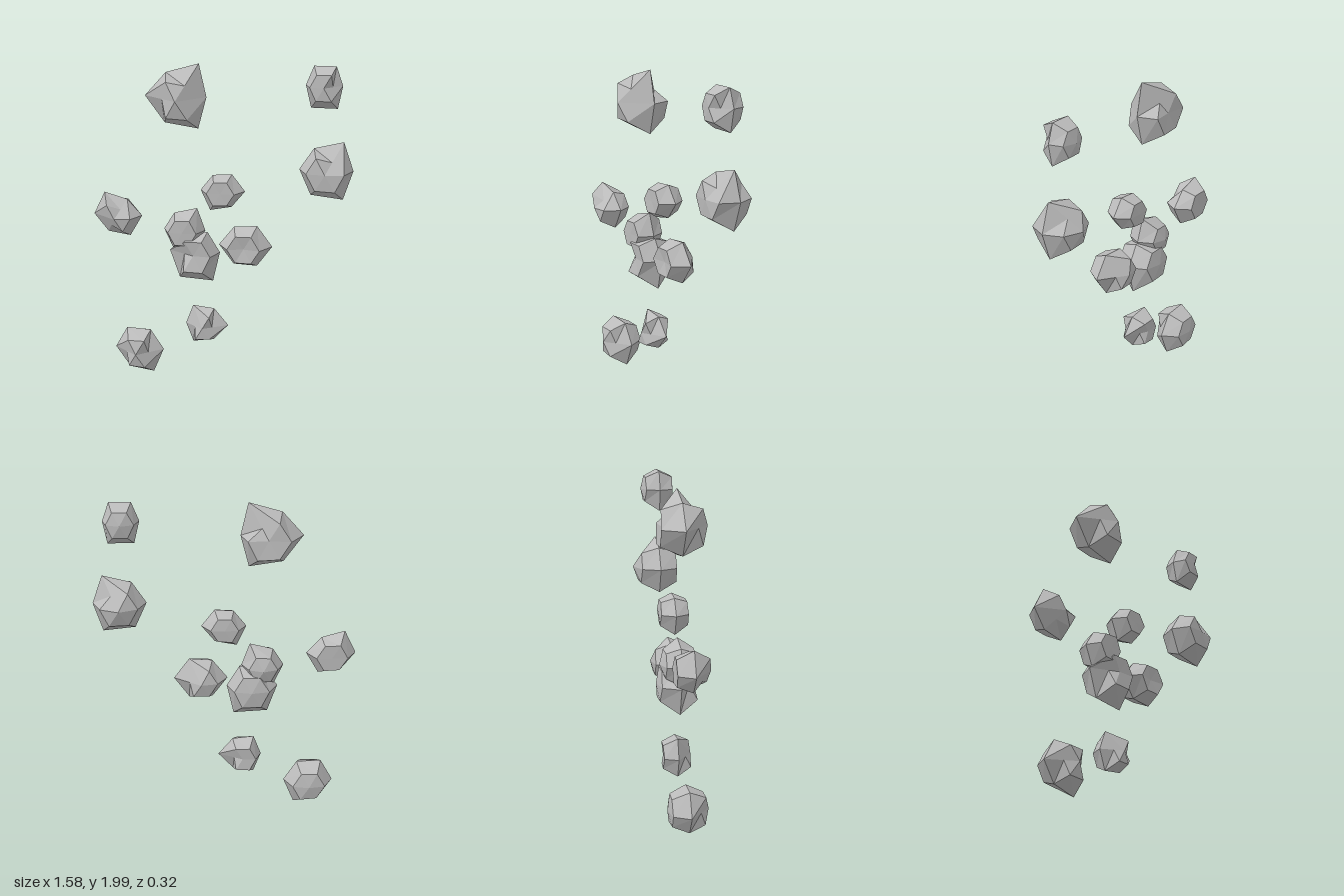
import * as THREE from 'three';

// Each rock is a coarse six-sided sphere with its axis along z and an uneven rim.
// Hundredths of a unit: centre, front and back tips, rim radii at 0, 60 ... 300 degrees.
// Dents: sides (0 to 5) where the ring before or behind the rim lies straight from tip to rim.
const rocks = [
  { at: [-25, 179], tips: [16, -11], rim: [16, 23, 16.5, 21, 18.5, 22], frontDents: [0, 1, 3], backDents: [1] },
  { at: [60.5, 188.3], tips: [9.5, -11], rim: [10.5, 13, 13, 11, 15.5, 15.7], frontDents: [0], backDents: [] },
  { at: [62.6, 137.6], tips: [12.5, -16], rim: [16, 20, 15, 16, 18, 20.5], frontDents: [1], backDents: [1] },
  { at: [0.3, 122.2], tips: [8, -9], rim: [14, 12, 11, 13, 14.5, 11.6], frontDents: [], backDents: [] },
  { at: [-64.2, 104], tips: [11, -9], rim: [15, 11.7, 16.3, 15, 12.6, 15], frontDents: [1, 3, 4], backDents: [] },
  { at: [-23, 96.5], tips: [9, -12], rim: [13, 16, 12, 12.5, 14, 14], frontDents: [], backDents: [] },
  { at: [-16, 82.7], tips: [9.5, -13], rim: [15, 14.7, 13, 16, 20, 21.5], frontDents: [3], backDents: [] },
  { at: [14.5, 88], tips: [8, -12], rim: [16.6, 14.7, 13.5, 16, 14, 14.7], frontDents: [], backDents: [0, 1] },
  { at: [-10.8, 35], tips: [9, -8], rim: [15, 12.3, 14, 11.6, 14, 11.6], frontDents: [0, 2, 3], backDents: [0] },
  { at: [-52.5, 16], tips: [12.5, -12], rim: [15.5, 14.7, 15.6, 15.3, 14, 18], frontDents: [0, 3], backDents: [] },
];

function rockGeometry({ tips, rim, frontDents, backDents }) {
  const sphere = new THREE.SphereGeometry(1, 6, 4);
  const pos = sphere.attributes.position;
  const mean = rim.reduce((sum, r) => sum + r) / rim.length;

  // radius of the ring halfway to a tip, at 45 degrees from the axis
  const innerRadius = (side, tip, dents) => {
    if (dents.includes(side)) return tip * rim[side] / (tip + rim[side]);
    return 0.65 * THREE.MathUtils.lerp(mean, rim[side], 0.25);
  };

  for (let row = 0; row <= 4; row++) {
    for (let col = 0; col <= 6; col++) {
      const i = row * 7 + col;
      if (row % 4 === 0) {
        pos.setXYZ(i, 0, 0, tips[row / 4]);
        continue;
      }
      const side = (col + 3) % 6;
      let r = rim[side];
      if (row === 1) r = innerRadius(side, tips[0], frontDents);
      if (row === 3) r = innerRadius(side, -tips[1], backDents);
      const angle = side * Math.PI / 3;
      pos.setXYZ(i, r * Math.cos(angle), r * Math.sin(angle), r * (2 - row));
    }
  }
  sphere.scale(0.01, 0.01, 0.01);

  // separate faces give hard facets
  const faceted = sphere.toNonIndexed();
  faceted.computeVertexNormals();
  return faceted;
}

export function createModel() {
  const model = new THREE.Group();
  model.name = 'rockCluster';
  const stone = new THREE.MeshStandardMaterial({ color: 0xbbbbbb });
  stone.name = 'stoneGrey';

  rocks.forEach((rock, i) => {
    const mesh = new THREE.Mesh(rockGeometry(rock), stone);
    mesh.name = `rock${i + 1}`;
    mesh.position.set(rock.at[0] / 100, rock.at[1] / 100, 0);
    model.add(mesh);
  });
  return model;
}
